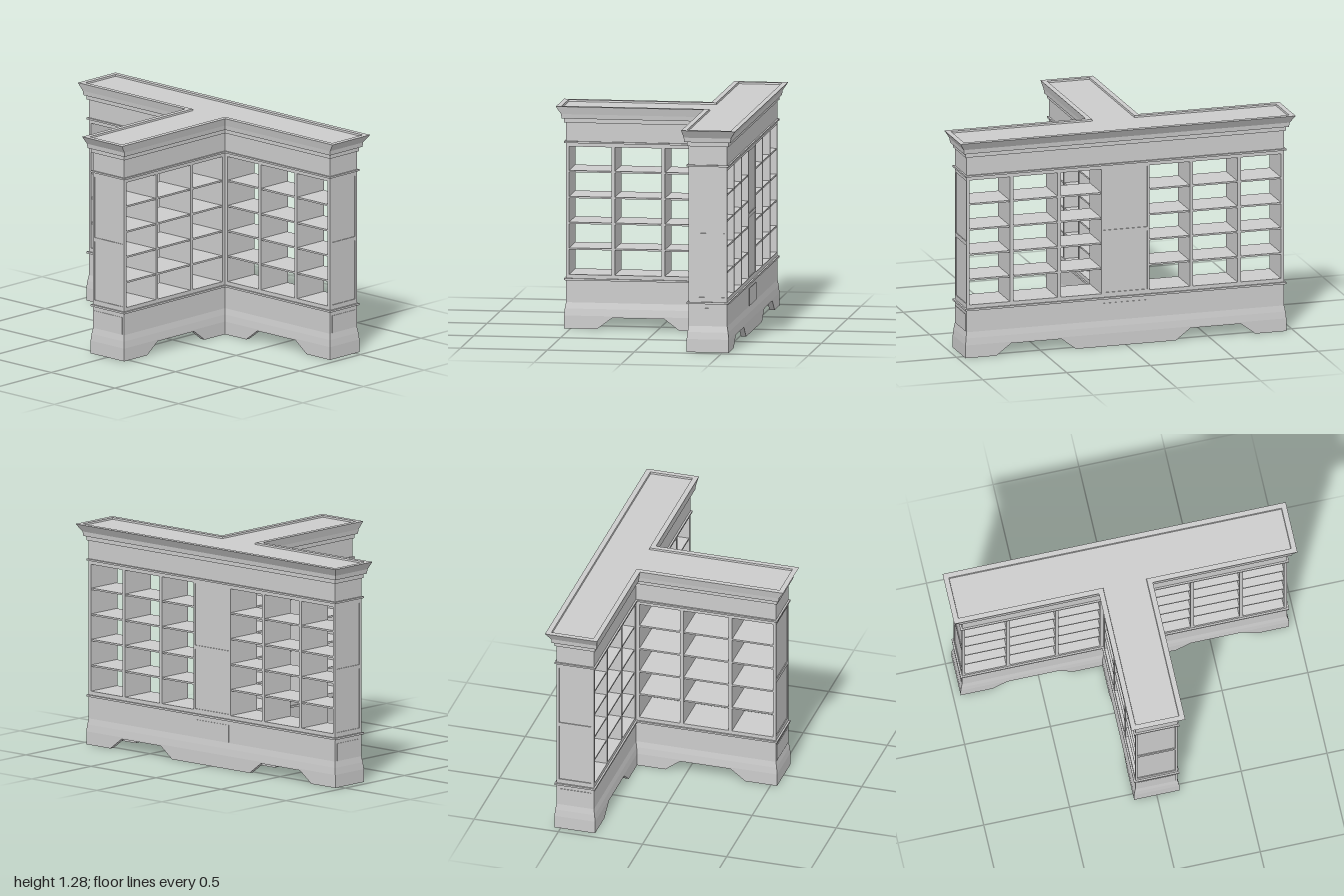
import * as THREE from 'three';

const material = new THREE.MeshStandardMaterial({ color: 0xcccccc, flatShading: true });
const FLOOR = 0.31, CEIL = 1.045;            // open shelving zone
const X = 0.947, BACK = -0.527, FRONT = -0.305, STEM = 0.122, END = 0.527;

function add(parent, name, geometry) {
  const mesh = new THREE.Mesh(geometry, material);
  mesh.name = name;
  parent.add(mesh);
  return mesh;
}

function box(parent, name, x0, x1, y0, y1, z0, z1) {
  const mesh = add(parent, name, new THREE.BoxGeometry(x1 - x0, y1 - y0, z1 - z0));
  mesh.position.set((x0 + x1) / 2, (y0 + y1) / 2, (z0 + z1) / 2);
}

// T-shaped plan, grown by d on outer sides and di beside the inner corners
function plan(d, di = d) {
  const x = X + d, b = BACK - d, f = FRONT + di, s = STEM + di, e = END + d;
  return [[-s, e], [s, e], [s, f], [x, f], [x, b], [-x, b], [-x, f], [-s, f]];
}

// Sweep a moulding profile of [y, d, di] levels around the plan, capped at both ends
function loft(levels) {
  const rings = levels.map(([y, d, di]) => plan(d, di).map(([x, z]) => [x, y, z]));
  const pos = [];
  const quad = (a, b, c, d) => pos.push(...a, ...b, ...c, ...a, ...c, ...d);
  for (let i = 0; i + 1 < rings.length; i++) {
    for (let j = 0; j < 8; j++) {
      const k = (j + 1) % 8;
      quad(rings[i][j], rings[i][k], rings[i + 1][k], rings[i + 1][j]);
    }
  }
  const lo = rings[0], hi = rings[rings.length - 1];
  for (const q of [[0, 1, 2, 7], [6, 3, 4, 5]]) {
    quad(...q.map(i => hi[i]));
    quad(...q.slice().reverse().map(i => lo[i]));
  }
  const g = new THREE.BufferGeometry();
  g.setAttribute('position', new THREE.Float32BufferAttribute(pos, 3));
  g.computeVertexNormals();
  return g;
}

// Plinth board from a to b, with arched cut-outs centred at distances along it
function skirt(parent, a, b, centres) {
  const dx = b[0] - a[0], dz = b[1] - a[1], len = Math.hypot(dx, dz), t = 0.03;
  const s = new THREE.Shape().moveTo(0, 0);
  for (const c of centres) {
    s.lineTo(c - 0.237, 0).lineTo(c - 0.15, 0.066).lineTo(c + 0.15, 0.066).lineTo(c + 0.237, 0);
  }
  s.lineTo(len, 0).lineTo(len, 0.07).lineTo(0, 0.07);
  const g = new THREE.ExtrudeGeometry(s, { depth: t, bevelEnabled: false }).translate(0, 0, -t);
  const mesh = add(parent, 'plinthBoard', g);
  mesh.position.set(a[0], 0, a[1]);
  mesh.rotation.y = Math.atan2(-dz, dx);
}

// Board with two sunk panels above and one raised panel on the base below
function panelledEnd(parent, name, width, inset, x, z, angle) {
  const group = new THREE.Group();
  const w = width / 2, p = w - inset;
  const rect = (T, a, y0, y1) => new T().moveTo(-a, y0).lineTo(a, y0).lineTo(a, y1).lineTo(-a, y1);
  box(group, 'panelBacking', -w, w, FLOOR, CEIL, -0.018, -0.005);
  const frame = rect(THREE.Shape, w, FLOOR, CEIL);
  frame.holes.push(rect(THREE.Path, p, 0.315, 0.66), rect(THREE.Path, p, 0.683, 1.04));
  add(group, 'panelFrame', new THREE.ExtrudeGeometry(frame, { depth: 0.005, bevelEnabled: false }).translate(0, 0, -0.005));
  box(group, 'basePanel', -p, p, 0.152, 0.253, -0.005, 0.003);
  group.name = name;
  group.position.set(x, 0, z);
  group.rotation.y = angle;
  parent.add(group);
}

export function createModel() {
  const model = new THREE.Group();
  model.name = 'bookcase';

  // Base with its waist moulding
  add(model, 'base', loft([[0.066, 0.01], [0.075, 0.01], [0.115, 0.006], [0.15, 0],
    [0.277, 0], [0.277, 0.01], [0.288, 0.01], [0.288, 0], [FLOOR, 0]]));

  // Plinth boards with feet
  const p = plan(0.01);
  const stemArch = END + 0.01 - 0.11, barArch = 0.535;
  const arches = [[], [stemArch], [barArch - p[1][0]], [], [X + 0.01 - barArch, X + 0.01 + barArch], [],
    [X + 0.01 - barArch], [0.11 - p[7][1]]];
  arches.forEach((c, i) => skirt(model, p[i], p[(i + 1) % 8], c));

  // Frieze, cornice and sunk top
  add(model, 'cornice', loft([[CEIL, 0], [1.066, 0], [1.066, 0.01], [1.076, 0.01], [1.076, 0],
    [1.183, 0], [1.183, 0.009], [1.208, 0.009], [1.208, 0.022], [1.234, 0.025],
    [1.278, 0.053, 0.035], [1.278, 0.023, 0.005], [1.268, 0.021, 0.003]]));

  // Solid core where the two runs meet
  box(model, 'core', -0.143, 0.143, FLOOR, CEIL, BACK + 0.006, FRONT);
  box(model, 'coreFront', -STEM, STEM, FLOOR, CEIL, FRONT, -0.284);

  // Panelled faces
  panelledEnd(model, 'stemEnd', 2 * STEM, 0.012, 0, END, 0);
  panelledEnd(model, 'backPanel', 0.286, 0.012, 0, BACK, Math.PI);
  for (const s of [-1, 1]) {
    panelledEnd(model, 'barEnd', FRONT - BACK, 0.016, s * X, (FRONT + BACK) / 2, s * Math.PI / 2);
  }

  // Uprights and shelves, open from both sides
  const shelves = [0.457, 0.605, 0.753, 0.902];
  for (const s of [-1, 1]) {
    for (const x of [0.394, 0.679]) {
      box(model, 'barUpright', s * x - 0.01, s * x + 0.01, FLOOR, CEIL, BACK, FRONT);
    }
    for (const y of shelves) {
      const a = s * 0.536;
      box(model, 'barShelf', a - 0.4, a + 0.4, y - 0.005, y + 0.005, BACK + 0.004, FRONT - 0.004);
    }
  }
  for (const z of [0.256, -0.032]) {
    box(model, 'stemUpright', -STEM, STEM, FLOOR, CEIL, z - 0.01, z + 0.01);
  }
  for (const y of shelves) {
    box(model, 'stemShelf', -STEM + 0.004, STEM - 0.004, y - 0.005, y + 0.005, -0.29, 0.515);
  }
  return model;
}
